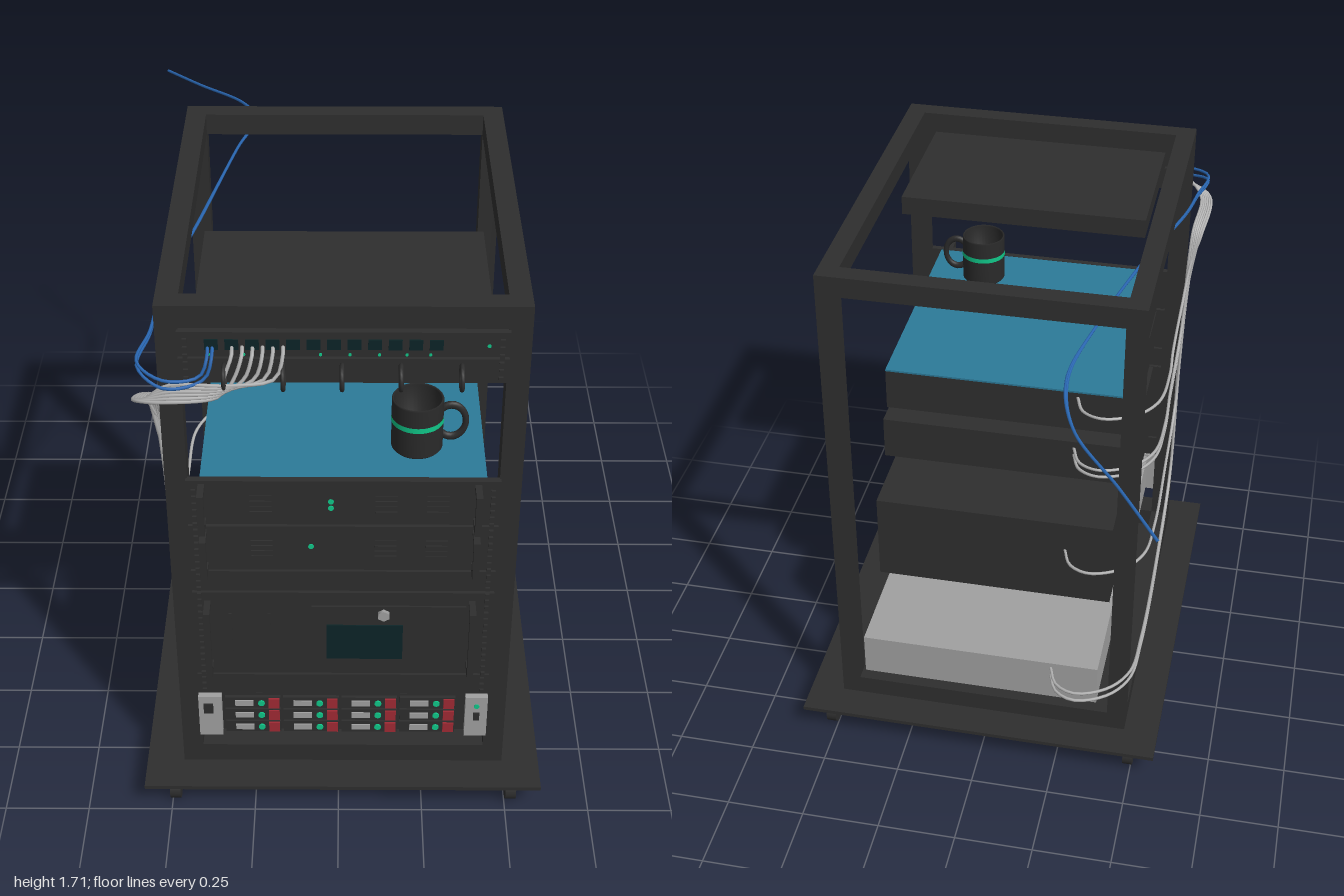
import * as THREE from 'three';
import { mergeGeometries } from 'three/addons/utils/BufferGeometryUtils.js';

const mat = (name, color, side = THREE.FrontSide) => {
  const m = new THREE.MeshStandardMaterial({ color, side });
  m.name = name;
  return m;
};

export function createModel() {
  const black = mat('blackMetal', 0x2e2e2e), grey = mat('greyMetal', 0xa0a0a0);
  const teal = mat('tealCover', 0x2c7a99), green = mat('greenLight', 0x10c688);
  const red = mat('redLatch', 0xa02a34), screenMat = mat('darkScreen', 0x0c2427);
  const cableGrey = mat('greyCable', 0xb4b4b4), cableBlue = mat('blueCable', 0x2a68b4);
  const ceramic = mat('mugBlack', 0x2a2a2a, THREE.DoubleSide);

  const model = new THREE.Group();
  model.name = 'serverRack';
  const group = (name) => {
    const g = new THREE.Group();
    g.name = name;
    model.add(g);
    return g;
  };
  const add = (parent, name, geo, m) => {
    const mesh = new THREE.Mesh(geo, m);
    mesh.name = name;
    parent.add(mesh);
    return mesh;
  };
  // box geometry from its lower and upper limits on each axis
  const span = (x0, x1, y0, y1, z0, z1) =>
    new THREE.BoxGeometry(x1 - x0, y1 - y0, z1 - z0)
      .translate((x0 + x1) / 2, (y0 + y1) / 2, (z0 + z1) / 2);
  const dot = (x, y, z, r = 0.008) =>
    new THREE.CylinderGeometry(r, r, 0.006, 12).rotateX(Math.PI / 2).translate(x, y, z);

  // Wheeled base
  const base = group('base');
  add(base, 'platform', span(-0.577, 0.603, 0.085, 0.098, -0.376, 1), black);
  for (const x of [-0.49, 0.518]) for (const z of [-0.306, 0.936]) {
    add(base, 'caster', new THREE.CylinderGeometry(0.042, 0.042, 0.032, 24)
      .rotateZ(Math.PI / 2).translate(x, 0.042, z), black);
    add(base, 'casterMount', span(x - 0.012, x + 0.012, 0.05, 0.086, z - 0.02, z + 0.02), black);
  }

  // Open frame of posts and rails
  const frame = group('frame');
  const L = -0.466, R = 0.493, B = -0.265, F = 0.892, T = 0.06;
  for (const x of [L, R - T]) {
    for (const z of [B, F - T]) add(frame, 'post', span(x, x + T, 0.098, 1.712, z, z + T), black);
    for (const y of [0.098, 1.647]) add(frame, 'sideRail', span(x, x + T, y, y + 0.065, B + T, F - T), black);
  }
  for (const z of [B, F - T]) for (const y of [0.098, 1.647])
    add(frame, 'crossRail', span(L + T, R - T, y, y + 0.065, z, z + T), black);
  // Cage screws up the front posts
  const studs = [];
  for (let i = 0; i < 54; i++) for (const x of [-0.39, 0.417])
    studs.push(span(x - 0.006, x + 0.006, 0.4 + i * 0.0229, 0.411 + i * 0.0229, 0.89, 0.912));
  const keep = studs.filter((g) => {
    g.computeBoundingBox();
    const y = g.boundingBox.min.y;
    return y < 1.15 || y > 1.49;
  });
  add(frame, 'cageScrews', mergeGeometries(keep), black);

  // Front panels, with a thin gap between neighbours
  const PL = -0.41, PR = 0.437, PZ = 0.905;
  const BL = -0.373, BR = 0.4;
  const panel = (g, y0, y1) => add(g, 'frontPanel', span(PL, PR, y0, y1, 0.885, PZ), black);
  const handles = (g, y0, y1) => {
    for (const x of [-0.368, 0.376]) {
      add(g, 'handleGrip', span(x - 0.009, x + 0.009, y0, y1, 0.95, 0.966), black);
      for (const y of [y0, y1 - 0.016])
        add(g, 'handleArm', span(x - 0.009, x + 0.009, y, y + 0.016, PZ, 0.951), black);
    }
  };
  const body = (g, y0, y1, back, m = black) => add(g, 'chassis', span(BL, BR, y0, y1, back, 0.886), m);

  // Network switch
  const sw = group('networkSwitch');
  body(sw, 1.578, 1.638, 0.378);
  panel(sw, 1.57, 1.643);
  for (const x of [-0.33, -0.24, -0.045, 0.03, 0.105, 0.175, 0.235]) add(sw, 'portLight', dot(x, 1.577, PZ, 0.004), green);
  add(sw, 'statusLight', dot(0.383, 1.604, PZ, 0.005), green);
  for (let i = 0; i < 12; i++)
    add(sw, 'port', span(-0.34 + i * 0.052, -0.305 + i * 0.052, 1.592, 1.622, PZ, PZ + 0.003), screenMat);

  // Cable guide panel with rings
  const guide = group('cableGuide');
  panel(guide, 1.49, 1.563);
  for (const x of [-0.29, -0.14, 0.01, 0.16, 0.315])
    add(guide, 'guideRing', new THREE.TorusGeometry(0.032, 0.006, 8, 24)
      .rotateY(Math.PI / 2).translate(x, 1.528, 0.937), black);

  // Upper unit with teal lid
  const upper = group('upperUnit');
  body(upper, 1.025, 1.163, 0.1);
  add(upper, 'lid', span(BL, BR, 1.163, 1.169, 0.1, 0.886), teal);
  panel(upper, 1.023, 1.17);
  handles(upper, 1.03, 1.16);
  for (const y of [1.08, 1.102]) add(upper, 'statusLight', dot(-0.02, y, PZ), green);

  // Second unit
  const second = group('secondUnit');
  body(second, 0.868, 1.01, 0.05);
  panel(second, 0.862, 1.015);
  handles(second, 0.873, 1.005);
  add(second, 'statusLight', dot(-0.075, 0.946, PZ), green);

  // Vent slots on the two slim units
  for (const [g, yc] of [[upper, 1.09], [second, 0.935]])
    for (const x of [-0.24, 0.1, 0.24]) for (let i = 0; i < 4; i++)
      add(g, 'vent', span(x, x + 0.06, yc - 0.03 + i * 0.018, yc - 0.022 + i * 0.018, PZ, PZ + 0.003), black);

  // Blank plates
  const blanks = group('blankPlates');
  panel(blanks, 0.785, 0.855);
  panel(blanks, 0.39, 0.464);

  // Large unit with door and display
  const large = group('largeUnit');
  body(large, 0.475, 0.775, -0.075);
  panel(large, 0.471, 0.777);
  handles(large, 0.505, 0.748);
  add(large, 'door', span(-0.075, 0.36, 0.51, 0.73, PZ, 0.911), black);
  add(large, 'display', span(-0.034, 0.183, 0.536, 0.663, 0.911, 0.915), screenMat);
  add(large, 'doorLock', new THREE.CylinderGeometry(0.018, 0.018, 0.014, 6)
    .rotateX(Math.PI / 2).translate(0.128, 0.703, 0.915), grey);
  for (const x of [-0.31, -0.2]) add(large, 'groove', span(x, x + 0.008, 0.55, 0.7, PZ, PZ + 0.003), black);

  // Storage server with drive bays
  const storage = group('storageServer');
  body(storage, 0.236, 0.38, -0.3, grey);
  add(storage, 'driveCage', span(-0.342, 0.372, 0.238, 0.385, 0.886, 0.9), black);
  for (const [x0, x1] of [[PL, -0.342], [0.372, PR]])
    add(storage, 'ear', span(x0, x1, 0.234, 0.388, 0.88, 0.922), grey);
  add(storage, 'earButton', span(-0.395, -0.367, 0.325, 0.362, 0.922, 0.926), black);
  add(storage, 'earPort', span(0.396, 0.414, 0.3, 0.33, 0.922, 0.926), black);
  add(storage, 'earLight', dot(0.405, 0.355, 0.922), green);
  for (let c = 0; c < 4; c++) for (let r = 0; r < 3; r++) {
    const x = -0.303 + c * 0.171, y = 0.355 - r * 0.048;
    add(storage, 'drive', span(x - 0.03, x + 0.133, y - 0.021, y + 0.021, 0.9, 0.91), black);
    add(storage, 'driveLabel', span(x, x + 0.054, y - 0.01, y + 0.01, 0.91, 0.914), grey);
    add(storage, 'driveLight', dot(x + 0.077, y, 0.912, 0.01), green);
    add(storage, 'driveLatch', span(x + 0.098, x + 0.13, y - 0.018, y + 0.018, 0.91, 0.915), red);
  }

  // Mug standing on the upper unit
  const mug = group('mug');
  mug.position.set(0.215, 1.169, 0.737);
  const profile = [[0, 0], [0.066, 0], [0.071, 0.006], [0.071, 0.157], [0.068, 0.161], [0.064, 0.157], [0.064, 0.012], [0, 0.012]];
  add(mug, 'cup', new THREE.LatheGeometry(profile.map((p) => new THREE.Vector2(...p)), 40), ceramic);
  add(mug, 'band', new THREE.CylinderGeometry(0.0725, 0.0725, 0.016, 40, 1, true).translate(0, 0.097, 0), green);
  add(mug, 'mugHandle', new THREE.TorusGeometry(0.04, 0.009, 10, 28)
    .scale(1, 1.3, 1).translate(0.092, 0.083, 0), ceramic);

  // Cables
  const cables = group('cables');
  const cable = (name, pts, m, r = 0.005) => add(cables, name, new THREE.TubeGeometry(
    new THREE.CatmullRomCurve3(pts.map((p) => new THREE.Vector3(...p))), 110, r, 6), m);

  // Grey leads: port, round the left post, sagging back to each rear socket [height, rear z]
  const sockets = [[1.145, 0.1], [0.985, 0.05], [0.96, 0.05], [0.67, -0.075], [0.36, -0.3], [0.33, -0.3]];
  sockets.forEach(([y, z], i) => {
    const px = -0.27 + i * 0.026, o = i * 0.006, drop = 1.4 - y;
    cable('greyCable', [
      [px, 1.6, 0.9], [px, 1.59, 0.935], [px - 0.02, 1.535, 0.955], [-0.3 + o, 1.49 + o, 0.965],
      [-0.44, 1.475 + o, 0.975 - o], [-0.525 + o, 1.45, 0.93], [-0.515 + o, 1.375, 0.8],
      [-0.49 + o / 2, 1.4 - drop * 0.45, 0.77 - o],
      [-0.478, y + drop * 0.12, 0.68], [-0.478, y - 0.015, 0.45],
      [-0.483, y - 0.03, z + 0.24], [-0.47, y - 0.01, z + 0.04],
      [-0.41, y, z - 0.06], [-0.315, y + 0.005, z - 0.105], [-0.25, y, z - 0.07], [-0.22, y, z + 0.005],
    ], cableGrey);
  });

  // Twin blue lines from the switch, back over the rack and away
  for (const s of [0, 1]) {
    const o = s * 0.008, px = -0.32 - s * 0.012;
    cable('blueCable', [
      [px, 1.6, 0.9], [px, 1.585, 0.935], [px - 0.02, 1.53 + o, 0.95], [-0.44, 1.51 + o * 3, 0.965],
      [-0.515, 1.53 + o * 2, 0.9], [-0.495, 1.54 + o, 0.75], [-0.478, 1.565 + o / 2, 0.58],
      [-0.395, 1.595, 0.21 + o], [-0.315, 1.605, -0.19], [-0.275 + o / 2, 1.58, -0.45],
      [-0.325, 1.55, -0.64], [-0.475, 1.523, -0.83], [-0.6, 1.5, -0.998],
    ], cableBlue, 0.0045);
  }
  return model;
}
